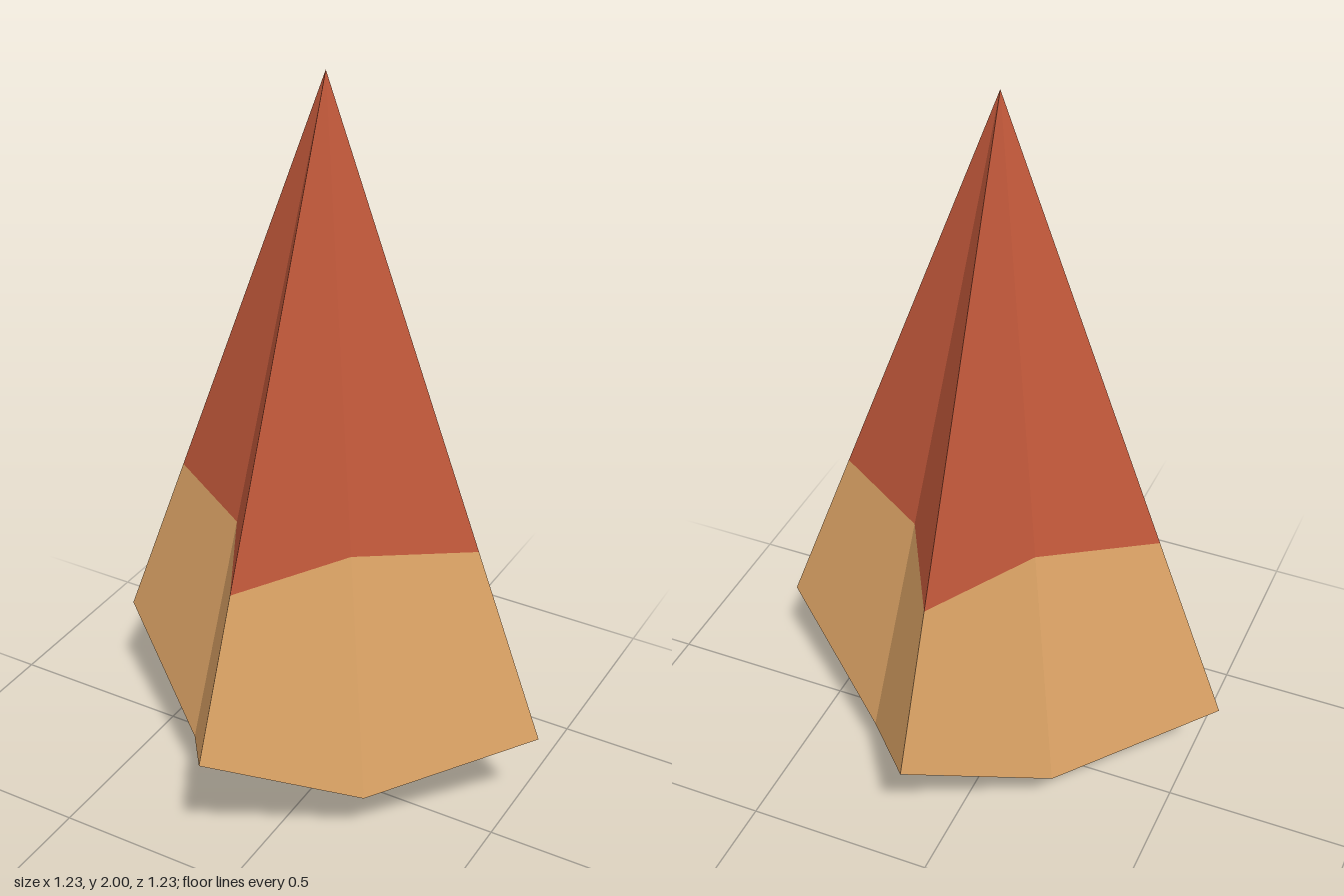
import * as THREE from 'three';

const APEX = [0, 2, 0];
const BASE = [0, 0, 0];

const red = new THREE.MeshStandardMaterial({ color: 0xc1583a });
red.name = 'brick red';
const tan = new THREE.MeshStandardMaterial({ color: 0xdda466 });
tan.name = 'sand tan';

// Star outline: x tips, z tips and the valleys between them
const rim = [];
for (let i = 0; i < 8; i++) {
  const a = (i * Math.PI) / 4;
  const valley = i % 2 === 1;
  const r = valley ? 0.36 : 0.615;
  const y = valley ? 0.2 : i % 4 === 0 ? 0.355 : 0.46;
  rim.push([r * Math.cos(a), y, r * Math.sin(a)]);
}

// Point on the line from a rim corner to the apex where the colour changes
const seam = rim.map(([x, y, z], i) => {
  const h = i % 2 === 1 ? 0.85 : 0.857;
  const t = (2 - h) / (2 - y);
  return [x * t, h, z * t];
});

function makeMesh(name, points, material, index) {
  const geometry = new THREE.BufferGeometry();
  geometry.setAttribute('position', new THREE.Float32BufferAttribute(points.flat(), 3));
  if (index) geometry.setIndex(index);
  geometry.computeVertexNormals(); // flat without an index, smooth with one
  const mesh = new THREE.Mesh(geometry, material);
  mesh.name = name;
  return mesh;
}

export function createModel() {
  const group = new THREE.Group();
  group.name = 'starSpire';

  // Faceted upper spire and lower skirt
  const spire = [];
  const skirt = [];
  for (let i = 0; i < 8; i++) {
    const n = (i + 1) % 8;
    spire.push(APEX, seam[n], seam[i]);
    skirt.push(seam[i], seam[n], rim[n], seam[i], rim[n], rim[i]);
  }
  group.add(makeMesh('spire', spire, red));
  group.add(makeMesh('skirt', skirt, tan));

  // Smooth underside: a flap under each tip and a point below
  const index = [];
  for (let i = 0; i < 8; i += 2) {
    const prev = (i + 7) % 8;
    const next = i + 1;
    index.push(i, next, prev, prev, next, 8);
  }
  group.add(makeMesh('underside', [...rim, BASE], tan, index));

  return group;
}
